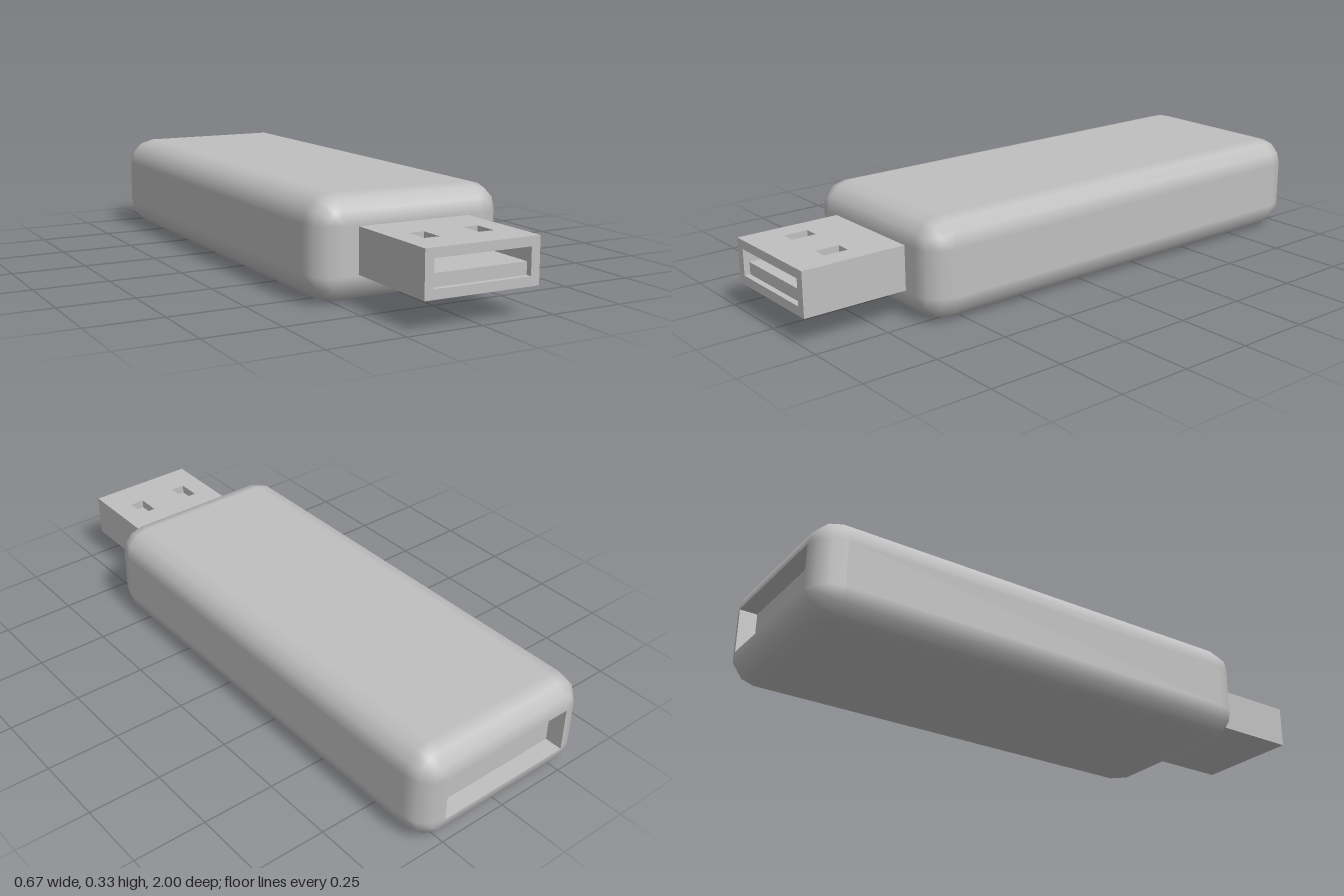
import * as THREE from 'three';

const W = 0.337, H = 0.1665, R = 0.09;   // casing half width, half height, edge radius
const Z0 = -1, Z1 = 0.645, Y = 0.1665;   // casing back, front and centre height

// Casing: rounded rectangles stacked along z, closed in front and open behind
function casingGeometry() {
  const pos = [], nor = [], idx = [], steps = 3, row = 17;
  for (let k = 0; k < 8; k++) {
    const front = k > 3;
    const lat = (front ? k - 4 : k - 3) * Math.PI / 6;
    const z = (front ? Z1 - R : Z0 + R) + R * Math.sin(lat);
    for (let j = 0; j < row; j++) {
      const corner = Math.floor(j / 4) % 4;
      const a = (corner + (j % 4) / steps) * Math.PI / 2;
      const sx = corner === 0 || corner === 3 ? 1 : -1, sy = corner < 2 ? 1 : -1;
      const nx = Math.cos(lat) * Math.cos(a), ny = Math.cos(lat) * Math.sin(a);
      pos.push(sx * (W - R) + R * nx, Y + sy * (H - R) + R * ny, z);
      nor.push(nx, ny, Math.sin(lat));
    }
  }
  for (let k = 0; k < 7; k++) {
    for (let j = 0; j < row - 1; j++) {
      const a = k * row + j, b = a + 1, c = b + row, d = a + row;
      idx.push(a, b, c, a, c, d);
    }
  }
  const f = 7 * row;
  idx.push(f, f + 4, f + 8, f, f + 8, f + 12);
  const g = new THREE.BufferGeometry();
  g.setAttribute('position', new THREE.Float32BufferAttribute(pos, 3));
  g.setAttribute('normal', new THREE.Float32BufferAttribute(nor, 3));
  g.setIndex(idx);
  return g;
}

// Inward-facing box without its back (-z) face
function pocketGeometry(w, h, d) {
  const g = new THREE.BoxGeometry(w, h, d);
  g.setIndex(Array.from(g.index.array).slice(0, 30).reverse());
  const n = g.attributes.normal;
  for (let i = 0; i < n.count; i++) n.setXYZ(i, -n.getX(i), -n.getY(i), -n.getZ(i));
  return g;
}

function rectangle(Type, x0, y0, x1, y1) {
  const p = new Type();
  p.moveTo(x0, y0);
  p.lineTo(x1, y0);
  p.lineTo(x1, y1);
  p.lineTo(x0, y1);
  p.closePath();
  return p;
}

export function createModel() {
  const model = new THREE.Group();
  model.name = 'memoryStick';
  const grey = new THREE.MeshStandardMaterial({ color: 0xbfbfbf });
  grey.name = 'grey';

  const add = (name, geometry, x = 0, y = 0, z = 0, parent = model) => {
    const mesh = new THREE.Mesh(geometry, grey);
    mesh.name = name;
    mesh.position.set(x, y, z);
    parent.add(mesh);
    return mesh;
  };

  // Casing with a shallow recess in the back end
  add('casing', casingGeometry());
  const depth = 0.06;
  add('backRecess', pocketGeometry(2 * (W - R), 2 * (H - R), depth), 0, Y, Z0 + depth / 2);

  // Plug: a hollow metal sleeve
  const plug = new THREE.Group();
  plug.name = 'plug';
  model.add(plug);
  const px = 0.195, bottom = 0.093, top = 0.24, wall = 0.03;
  const back = 0.63, len = 1 - back, mid = back + len / 2;

  // Top plate with two contact windows
  const plate = rectangle(THREE.Shape, -px, -1, px, -back);
  for (const s of [-1, 1]) {
    plate.holes.push(rectangle(THREE.Path, s * 0.094 - 0.026, -0.88, s * 0.094 + 0.026, -0.798));
  }
  const plateGeometry = new THREE.ExtrudeGeometry(plate, { depth: wall, bevelEnabled: false });
  plateGeometry.rotateX(-Math.PI / 2);
  add('plugTop', plateGeometry, 0, top - wall, 0, plug);

  // Bottom and side walls
  add('plugBottom', new THREE.BoxGeometry(2 * px, wall, len), 0, bottom + wall / 2, mid, plug);
  for (const s of [-1, 1]) {
    add(s > 0 ? 'plugLeftWall' : 'plugRightWall',
      new THREE.BoxGeometry(wall, top - bottom - 2 * wall, len),
      s * (px - wall / 2), (top + bottom) / 2, mid, plug);
  }

  // Contact tongue in the lower half of the opening
  const tongueLen = len - 0.02;
  add('tongue', new THREE.BoxGeometry(2 * (px - wall), 0.04, tongueLen),
    0, bottom + wall + 0.02, back + tongueLen / 2, plug);

  return model;
}
